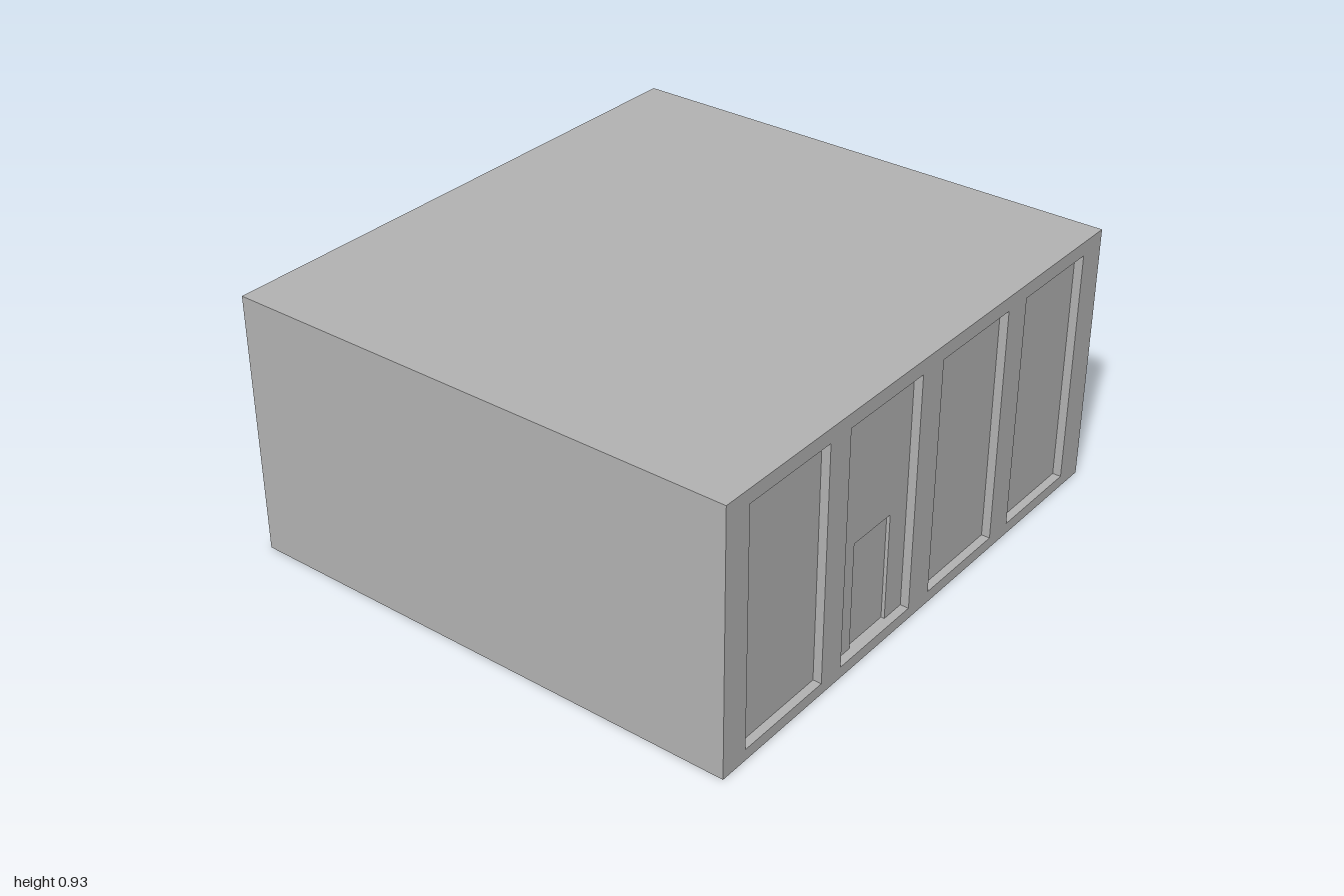
import * as THREE from 'three';

const W = 1, D = 0.92, H = 0.93;          // half width, half depth, height
const SILL = 0.04, HEAD = 0.88;           // bottom and top of the bays
const PANEL_Z = D - 0.03, DOOR_Z = PANEL_Z - 0.012;
const BAYS = [[-0.895, -0.52], [-0.42, -0.05], [0.06, 0.43], [0.535, 0.89]];
const DOOR = { x0: -0.33, x1: -0.14, top: 0.425 };

export function createModel() {
  const model = new THREE.Group();
  model.name = 'garageBlock';
  const grey = new THREE.MeshStandardMaterial({ color: 0xb3b3b3, side: THREE.DoubleSide });
  grey.name = 'plain grey';

  const add = (name, geometry, parent = model) => {
    const mesh = new THREE.Mesh(geometry, grey);
    mesh.name = name;
    parent.add(mesh);
    return mesh;
  };

  // Single sheets facing along z, x or y
  const sheetZ = (name, x0, x1, y0, y1, z, dir = 1, parent) =>
    add(name, new THREE.PlaneGeometry(x1 - x0, y1 - y0)
      .rotateY(dir > 0 ? 0 : Math.PI).translate((x0 + x1) / 2, (y0 + y1) / 2, z), parent);
  const sheetX = (name, x, y0, y1, z0, z1, dir, parent) =>
    add(name, new THREE.PlaneGeometry(z1 - z0, y1 - y0)
      .rotateY(dir * Math.PI / 2).translate(x, (y0 + y1) / 2, (z0 + z1) / 2), parent);
  const sheetY = (name, x0, x1, y, z0, z1, dir, parent) =>
    add(name, new THREE.PlaneGeometry(x1 - x0, z1 - z0)
      .rotateX(-dir * Math.PI / 2).translate((x0 + x1) / 2, y, (z0 + z1) / 2), parent);

  // Hollow shell, open underneath
  sheetY('roof', -W, W, H, -D, D, 1);
  sheetZ('backWall', -W, W, 0, H, -D, -1);
  sheetX('leftWall', W, 0, H, -D, D, 1);
  sheetX('rightWall', -W, 0, H, -D, D, -1);

  // Front frame: plinth, lintel and the piers between the bays
  sheetZ('plinth', -W, W, 0, SILL, D);
  sheetZ('lintel', -W, W, HEAD, H, D);
  const edges = [-W, ...BAYS.flat(), W];
  for (let i = 0; i < edges.length; i += 2) {
    sheetZ('pier', edges[i], edges[i + 1], SILL, HEAD, D);
  }
  sheetY('sillLedge', -W, W, SILL, PANEL_Z, D, 1);
  sheetY('headSoffit', -W, W, HEAD, PANEL_Z, D, -1);

  // Recessed bays, the second one holding a small door
  BAYS.forEach(([x0, x1], i) => {
    const bay = new THREE.Group();
    bay.name = 'bay' + (i + 1);
    model.add(bay);
    sheetX('bayReveal', x0, SILL, HEAD, PANEL_Z, D, 1, bay);
    sheetX('bayReveal', x1, SILL, HEAD, PANEL_Z, D, -1, bay);
    if (i !== 1) {
      sheetZ('bayPanel', x0, x1, SILL, HEAD, PANEL_Z, 1, bay);
      return;
    }
    const { x0: d0, x1: d1, top } = DOOR;
    sheetZ('bayPanelSide', x0, d0, SILL, HEAD, PANEL_Z, 1, bay);
    sheetZ('bayPanelSide', d1, x1, SILL, HEAD, PANEL_Z, 1, bay);
    sheetZ('bayPanelTop', d0, d1, top, HEAD, PANEL_Z, 1, bay);
    sheetZ('door', d0, d1, SILL, top, DOOR_Z, 1, bay);
    sheetX('doorReveal', d0, SILL, top, DOOR_Z, PANEL_Z, 1, bay);
    sheetX('doorReveal', d1, SILL, top, DOOR_Z, PANEL_Z, -1, bay);
    sheetY('doorHead', d0, d1, top, DOOR_Z, PANEL_Z, -1, bay);
    sheetY('doorSill', d0, d1, SILL, DOOR_Z, PANEL_Z, 1, bay);
  });

  return model;
}
